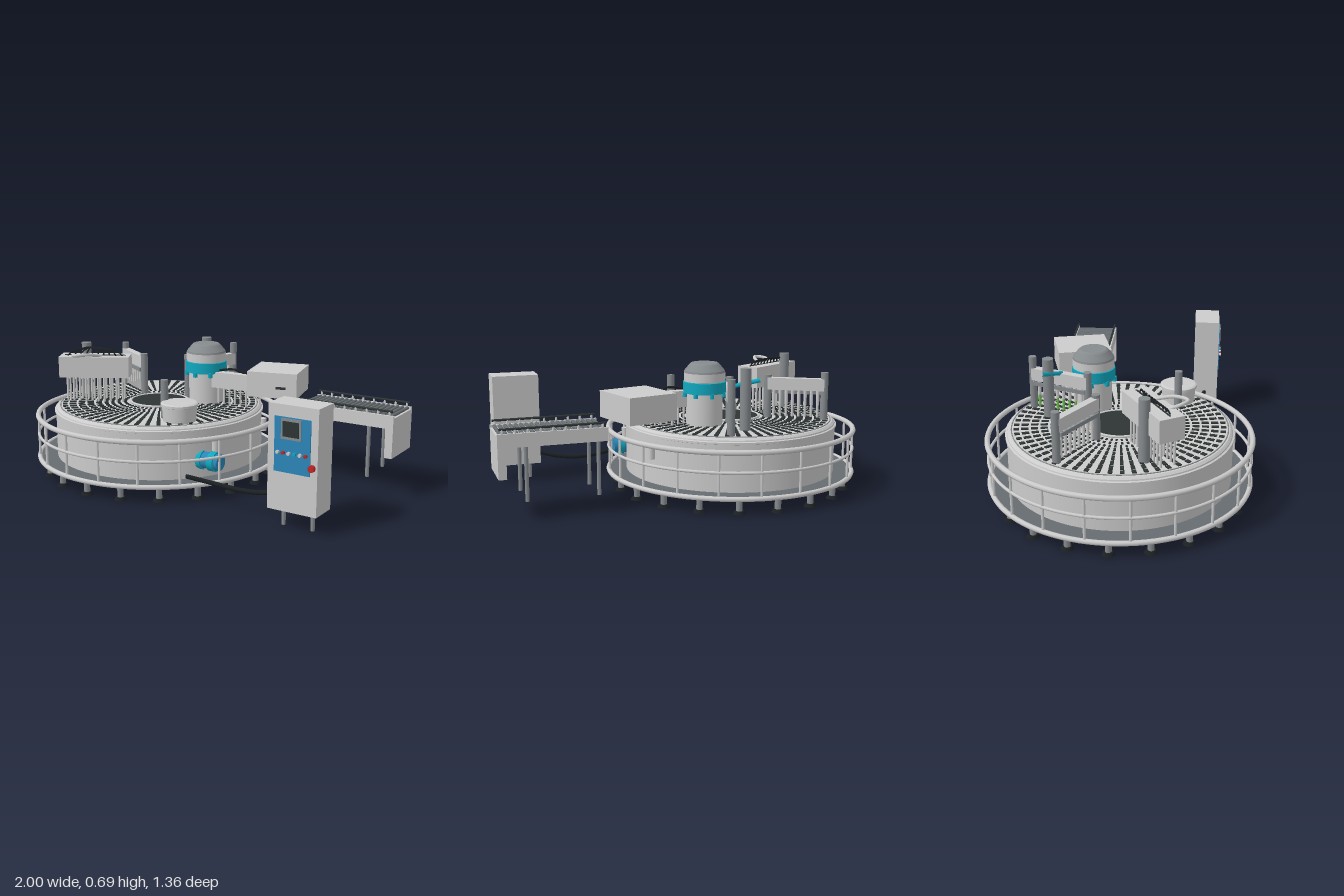
import * as THREE from 'three';
import { mergeGeometries } from 'three/addons/utils/BufferGeometryUtils.js';

const mat = (color) => new THREE.MeshStandardMaterial({ color });
const grey = mat(0xcccccc), mid = mat(0x868b8e), floorGrey = mat(0x666c70), dark = mat(0x2e3535), black = mat(0x1c2022),
  white = mat(0xe6e6e6), teal = mat(0x10a8c0), blue = mat(0x2b86b8), red = mat(0xc22626), green = mat(0x6cc04a);
const V = (x, y, z) => new THREE.Vector3(x, y, z);
const CX = -0.32, DECK = 0.365;

export function createModel() {
  const root = new THREE.Group();
  const add = (parent, name, geo, m, x = 0, y = 0, z = 0) => {
    const mesh = new THREE.Mesh(geo, m);
    mesh.name = name;
    mesh.position.set(x, y, z);
    parent.add(mesh);
    return mesh;
  };
  const group = (name, x = 0, y = 0, z = 0, ry = 0, parent = root) => {
    const g = new THREE.Group();
    g.name = name;
    g.position.set(x, y, z);
    g.rotation.y = ry;
    parent.add(g);
    return g;
  };
  // box and upright cylinder given by their lower and upper y
  const box = (p, name, m, x, z, w, d, y0, y1) =>
    add(p, name, new THREE.BoxGeometry(w, y1 - y0, d), m, x, (y0 + y1) / 2, z);
  const post = (p, name, m, x, z, r, y0, y1, n = 16) =>
    add(p, name, new THREE.CylinderGeometry(r, r, y1 - y0, n), m, x, (y0 + y1) / 2, z);
  const tube = (p, name, m, pts, r) =>
    add(p, name, new THREE.TubeGeometry(new THREE.CatmullRomCurve3(pts), 24, r, 8), m);
  const lathe = (p, name, m, pts, x = 0, z = 0, n = 48) => {
    // doubled corner points keep the edges of the profile crisp
    const parts = pts.slice(1).map((q, i) => new THREE.LatheGeometry(
      [new THREE.Vector2(...pts[i]), new THREE.Vector2(...q)], n));
    return add(p, name, mergeGeometries(parts), m, x, 0, z);
  };

  // --- round turntable ---
  const table = group('turntable', CX);
  lathe(table, 'drum', grey, [[0, 0.077], [0.57, 0.077], [0.57, 0.335], [0.566, 0.352],
    [0.555, 0.362], [0.54, DECK], [0, DECK]], 0, 0, 96);
  lathe(table, 'drumLip', grey, [[0.568, 0.33], [0.577, 0.333], [0.577, 0.343], [0.568, 0.346]], 0, 0, 96);
  lathe(table, 'floorRing', floorGrey, [[0.57, 0.074], [0.665, 0.074], [0.665, 0.09], [0.57, 0.09]], 0, 0, 96);
  lathe(table, 'hub', dark, [[0.152, DECK], [0.152, 0.372], [0, 0.372]]);
  const torus = (name, m, R, r, y) => {
    add(table, name, new THREE.TorusGeometry(R, r, 8, 96), m, 0, y, 0).rotation.x = Math.PI / 2;
  };
  torus('hubRim', grey, 0.158, 0.007, 0.37);
  torus('deckRim', mid, 0.545, 0.003, DECK);
  torus('topRail', grey, 0.667, 0.014, 0.315);
  torus('middleRail', grey, 0.667, 0.008, 0.215);
  torus('bottomRail', grey, 0.667, 0.013, 0.085);

  // rings of radial slots in the deck
  const slotRings = [[0.19, 0.016, 48], [0.225, 0.016, 48], [0.26, 0.018, 60], [0.295, 0.022, 60], [0.335, 0.032, 60],
    [0.382, 0.036, 60], [0.43, 0.036, 60], [0.478, 0.036, 60], [0.52, 0.026, 60]];
  for (const [r, len, n] of slotRings) {
    const slots = [];
    for (let i = 0; i < n; i++) {
      const w = r * Math.PI * 2 / n * 0.38;
      slots.push(new THREE.BoxGeometry(len, 0.006, w).translate(r, DECK + 0.002, 0).rotateY(i / n * Math.PI * 2));
    }
    add(table, 'deckSlots', mergeGeometries(slots), dark);
  }

  // feet and railing posts
  const N = 20;
  for (let i = 0; i < N; i++) {
    const a = (i / N) * Math.PI * 2, c = Math.cos(a), s = Math.sin(a);
    post(table, 'leg', mid, c * 0.625, s * 0.625, 0.016, 0.01, 0.075, 12);
    add(table, 'foot', new THREE.CylinderGeometry(0.023, 0.032, 0.016, 16), black, c * 0.625, 0.008, s * 0.625);
    const b = a + Math.PI / N;
    post(table, 'railPost', grey, Math.cos(b) * 0.665, Math.sin(b) * 0.665, 0.007, 0.085, 0.315, 8);
  }

  // --- dosing head with needles ---
  const head = group('dosingHead', -0.625, 0, 0.178, 0.53);
  box(head, 'headBox', grey, 0, 0, 0.385, 0.13, 0.505, 0.62);
  box(head, 'headSlot', dark, 0, 0.0, 0.34, 0.008, 0.615, 0.623);
  post(head, 'headColumn', mid, -0.062, -0.074, 0.027, DECK, 0.68, 24);
  for (let i = 0; i < 10; i++) {
    const x = -0.153 + i * 0.034;
    for (const z of [-0.035, 0.035]) post(head, 'needle', grey, x, z, 0.0065, DECK, 0.51, 8);
    tube(head, 'wire', black, [V(x, 0.615, 0.012), V(x * 0.85, 0.638, 0.005), V(x * 0.3 - 0.02, 0.655, -0.03),
      V(-0.04, 0.655, -0.06)], 0.004);
  }
  tube(root, 'hose', grey, [V(-0.68, 0.61, 0.24), V(-0.67, 0.635, 0.31), V(-0.63, 0.64, 0.34), V(-0.59, 0.64, 0.28),
    V(-0.58, 0.62, 0.18)], 0.009);

  // --- comb arms spanning from the deck edge to the hub ---
  const combArm = (name, x0, z0, x1, z1, h0, h1, tip) => {
    const dx = x1 - x0, dz = z1 - z0, L = Math.hypot(dx, dz);
    const arm = group(name, x0, 0, z0, Math.atan2(-dz, dx));
    post(arm, 'outerPost', mid, 0, 0, 0.02, DECK, h0, 20);
    post(arm, 'innerPost', mid, L, 0, 0.02, DECK, h1, 20);
    box(arm, 'beam', grey, L / 2, 0, L, 0.04, 0.52, 0.585);
    box(arm, 'strip', mid, L / 2, 0.022, L * 0.94, 0.008, 0.495, 0.515);
    for (let i = 1; i < 9; i++) {
      post(arm, 'nozzle', grey, (L * i) / 9, 0, 0.009, 0.44, 0.525, 8);
      post(arm, 'nozzleTip', tip, (L * i) / 9, 0, 0.007, DECK + 0.01, 0.45, 8);
    }
  };
  combArm('leftCombArm', -0.76, -0.255, -0.5, -0.1, 0.62, 0.6, grey);
  combArm('rearCombArm', -0.13, -0.47, -0.245, -0.17, 0.645, 0.61, green);
  post(root, 'rearColumn', mid, -0.25, -0.37, 0.028, DECK, 0.68, 24);
  tube(root, 'rearPipe', teal, [V(-0.32, 0.62, -0.39), V(-0.27, 0.605, -0.36), V(-0.19, 0.58, -0.31)], 0.011);

  // --- tank with coloured band and dome ---
  const tank = group('tank', -0.11, 0, -0.155);
  lathe(tank, 'tankBody', grey, [[0.095, DECK], [0.095, 0.535]]);
  lathe(tank, 'tankBand', teal, [[0.09, 0.53], [0.112, 0.535], [0.112, 0.592], [0.1, 0.595]]);
  lathe(tank, 'tankCollar', grey, [[0.1, 0.592], [0.108, 0.595], [0.108, 0.64], [0.1, 0.642]]);
  lathe(tank, 'tankDome', mid, [[0.108, 0.64], [0.105, 0.65], [0.077, 0.684], [0.068, 0.69], [0, 0.691]]);
  for (let i = 0; i < 8; i++) {
    const a = i * Math.PI / 4;
    post(tank, 'bandBolt', teal, Math.cos(a) * 0.108, Math.sin(a) * 0.108, 0.012, 0.515, 0.54, 8);
  }

  // --- transfer arm and chute box ---
  const transfer = group('transferArm', 0.06, 0, -0.13, 0.1);
  box(transfer, 'armBox', grey, 0, 0, 0.24, 0.05, 0.46, 0.545);
  for (let i = 0; i < 7; i++) post(transfer, 'armNeedle', grey, -0.1 + i * 0.033, 0, 0.006, DECK, 0.47, 8);
  tube(root, 'armCable', black, [V(0, 0.555, -0.125), V(0.09, 0.565, -0.135), V(0.18, 0.53, -0.16)], 0.006);
  const chute = group('chute', 0.285, 0, -0.265, 0.26);
  box(chute, 'chuteBox', grey, 0, 0, 0.27, 0.29, 0.44, 0.575);
  box(chute, 'chuteHandle', dark, 0.05, 0.147, 0.05, 0.012, 0.49, 0.502);

  // --- lidded bowl ---
  const bowl = group('bowl', 0.02, 0, 0.285);
  lathe(bowl, 'bowlBody', grey, [[0.085, DECK], [0.09, 0.44], [0.097, 0.443], [0.097, 0.456], [0.088, 0.461], [0, 0.463]]);
  post(bowl, 'bowlPost', mid, -0.095, 0, 0.02, DECK, 0.565, 20);

  // --- drive motor on the drum wall ---
  const motor = group('motor', 0.2, 0.18, 0.285);
  const disc = (name, m, r, len, x) => {
    add(motor, name, new THREE.CylinderGeometry(r, r, len, 28), m, x).rotation.z = Math.PI / 2;
  };
  disc('motorBody', blue, 0.042, 0.13, 0.005);
  disc('motorFlange', teal, 0.05, 0.025, -0.04);
  disc('motorCap', teal, 0.05, 0.035, 0.03);
  for (const z of [0.24, -0.24]) post(root, 'wallValve', grey, 0.21, z, 0.019, 0.22, 0.29, 16);

  // --- roller conveyor ---
  const conveyor = group('conveyor', 0.735, 0, -0.262);
  box(conveyor, 'bed', grey, 0, 0, 0.53, 0.2, 0.365, 0.415);
  for (const s of [-1, 1]) {
    box(conveyor, 'sidePanel', grey, 0, s * 0.117, 0.53, 0.014, 0.365, 0.432);
    const rail = add(conveyor, 'guideRail', new THREE.CylinderGeometry(0.006, 0.006, 0.51, 8), dark, 0, 0.453, s * 0.115);
    rail.rotation.z = Math.PI / 2;
    for (let i = 0; i < 9; i++) post(conveyor, 'railPeg', grey, -0.24 + i * 0.06, s * 0.115, 0.006, 0.43, 0.452, 8);
    for (const x of [-0.22, 0.13]) post(conveyor, 'conveyorLeg', mid, x, s * 0.1, 0.01, 0.095, 0.37, 12);
  }
  box(conveyor, 'endPanel', grey, 0.245, 0, 0.04, 0.248, 0.215, 0.42);
  for (let i = 0; i < 20; i++) {
    add(conveyor, 'roller', new THREE.CylinderGeometry(0.009, 0.009, 0.224, 12), floorGrey, -0.245 + i * 0.0258, 0.425, 0)
      .rotation.x = Math.PI / 2;
  }

  // --- control cabinet ---
  const cabinet = group('controlCabinet', 0.79, 0, 0.437);
  box(cabinet, 'cabinetBody', grey, 0, 0, 0.25, 0.143, 0.093, 0.59);
  for (const x of [-0.075, 0.075]) post(cabinet, 'cabinetLeg', mid, x, 0, 0.01, 0, 0.095, 12);
  box(cabinet, 'controlPanel', blue, 0, 0.073, 0.18, 0.008, 0.28, 0.535);
  box(cabinet, 'screenFrame', mid, -0.005, 0.077, 0.1, 0.01, 0.435, 0.53);
  box(cabinet, 'screen', dark, -0.005, 0.08, 0.08, 0.01, 0.448, 0.518);
  const button = (name, m, x, y, r) => {
    add(cabinet, name, new THREE.CylinderGeometry(r, r, 0.018, 16), m, x, y, 0.08).rotation.x = Math.PI / 2;
  };
  [white, red, white, teal, white, red].forEach((m, i) => button('knob', m, -0.07 + i * 0.028, 0.372, 0.008));
  button('stopButton', red, 0.1, 0.32, 0.016);

  // --- power cable ---
  tube(root, 'powerCable', black, [V(0.17, 0.135, 0.445), V(0.3, 0.115, 0.41), V(0.45, 0.105, 0.398),
    V(0.57, 0.118, 0.41), V(0.68, 0.148, 0.435)], 0.012);

  return root;
}
